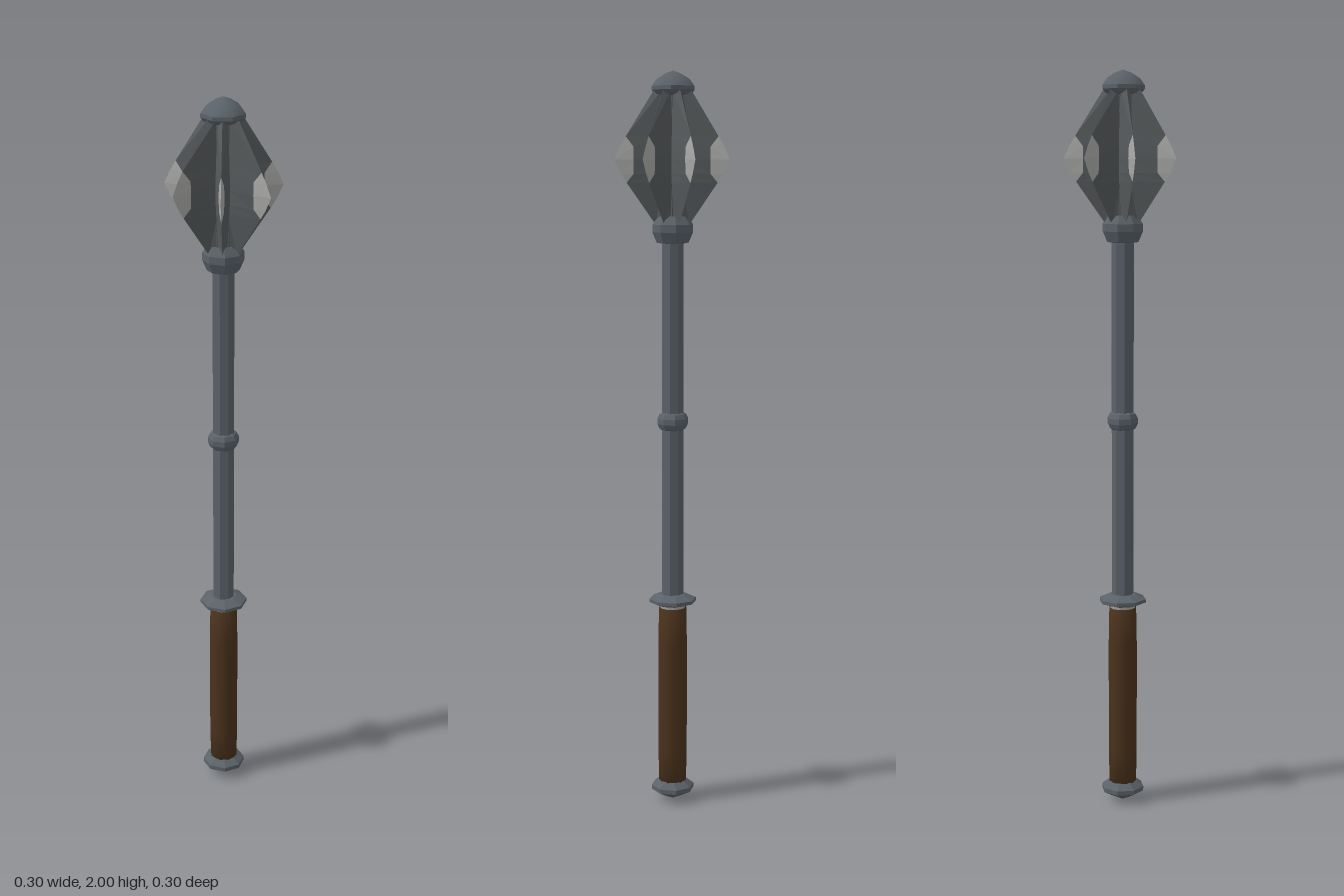
import * as THREE from 'three';

const mat = (name, color) => {
  const m = new THREE.MeshStandardMaterial({ color });
  m.name = name;
  return m;
};

export function createModel() {
  const root = new THREE.Group();
  root.name = 'flangedMace';
  const mace = new THREE.Group();
  mace.name = 'mace';
  mace.position.z = -0.007;
  root.add(mace);

  const steel = mat('steel', 0x5a6269);
  const flangeSteel = mat('flangeSteel', 0x565a5c);
  const polished = mat('polishedEdge', 0xa9aaa7);
  const leather = mat('leather', 0x4a321c);
  flangeSteel.side = polished.side = THREE.DoubleSide;

  // Turned part from [radius, y] points, bottom to top
  const turned = (name, material, pts, sides = 8, turn = 0, flat = true) => {
    let g = new THREE.LatheGeometry(pts.map(([r, y]) => new THREE.Vector2(r, y)), sides, turn);
    if (flat) {
      g = g.toNonIndexed();
      g.computeVertexNormals();
    }
    const m = new THREE.Mesh(g, material);
    m.name = name;
    mace.add(m);
  };

  // Handle
  turned('pommel', steel, [[0, 0], [0.025, 0.012], [0.059, 0.03], [0.059, 0.042], [0.038, 0.058], [0, 0.058]]);
  turned('grip', leather, [[0, 0.05], [0.038, 0.05], [0.04, 0.15], [0.04, 0.45], [0.038, 0.553], [0, 0.553]], 12, 0, false);
  turned('gripRing', polished, [[0.034, 0.55], [0.036, 0.563]], 12);
  turned('guard', steel, [[0, 0.56], [0.036, 0.56], [0.065, 0.57], [0.065, 0.579], [0.036, 0.592], [0, 0.592]]);

  // Shaft and its middle ring
  turned('shaft', steel, [[0.03, 0.57], [0.03, 1.57]], 8, Math.PI / 8);
  turned('shaftRing', steel, [[0.029, 1.048], [0.036, 1.052], [0.042, 1.065], [0.042, 1.08], [0.036, 1.092], [0.029, 1.096]]);

  // Head core, collar and cap
  turned('headCore', flangeSteel, [[0.036, 1.6], [0.036, 1.96]], 7, Math.PI / 7);
  turned('collar', steel, [[0.028, 1.55], [0.043, 1.552], [0.055, 1.58], [0.055, 1.6], [0.04, 1.622], [0.028, 1.622]]);
  turned('capRim', steel, [[0.034, 1.935], [0.05, 1.94], [0.058, 1.95], [0.058, 1.96]], 7, Math.PI / 7);
  turned('capDome', steel, [[0.058, 1.96], [0.045, 1.978], [0.022, 1.992], [0, 2]], 7, Math.PI / 7, false);

  // Flange rows: y, root half width, inner limit of polished edge, outer edge
  const ROOT = 0.03;
  const rows = [
    [1.6, 0.013, 0.046, 0.046],
    [1.71, 0.018, 0.123, 0.123],
    [1.733, 0.019, 0.105, 0.138],
    [1.77, 0.019, 0.105, 0.156],
    [1.803, 0.019, 0.105, 0.141],
    [1.83, 0.018, 0.125, 0.125],
    [1.95, 0.013, 0.05, 0.05],
  ];
  const body = [], edge = [];
  const point = ([y, half, , outer], r, side) =>
    [side * half * (outer - r) / (outer - ROOT), y, r];
  const quad = (out, a, b, c, d, side) => {
    const tris = side > 0 ? [a, b, c, a, c, d] : [a, c, b, a, d, c];
    out.push(...tris.flat());
  };
  for (const side of [1, -1]) {
    for (let i = 0; i < rows.length - 1; i++) {
      const lo = rows[i], hi = rows[i + 1];
      quad(body, point(lo, lo[2], side), point(lo, ROOT, side), point(hi, ROOT, side), point(hi, hi[2], side), side);
      if (i > 0 && i < rows.length - 2)
        quad(edge, point(lo, lo[3], side), point(lo, lo[2], side), point(hi, hi[2], side), point(hi, hi[3], side), side);
    }
  }
  const build = (coords) => {
    const g = new THREE.BufferGeometry();
    g.setAttribute('position', new THREE.Float32BufferAttribute(coords, 3));
    g.computeVertexNormals();
    return g;
  };
  const bodyGeo = build(body), edgeGeo = build(edge);

  // Seven flanges around the head
  for (let k = 0; k < 7; k++) {
    const flange = new THREE.Group();
    flange.name = 'flange' + (k + 1);
    const blade = new THREE.Mesh(bodyGeo, flangeSteel);
    blade.name = 'flangeBlade';
    const tip = new THREE.Mesh(edgeGeo, polished);
    tip.name = 'flangeEdge';
    flange.add(blade, tip);
    flange.rotation.y = k * Math.PI * 2 / 7;
    mace.add(flange);
  }
  return root;
}
